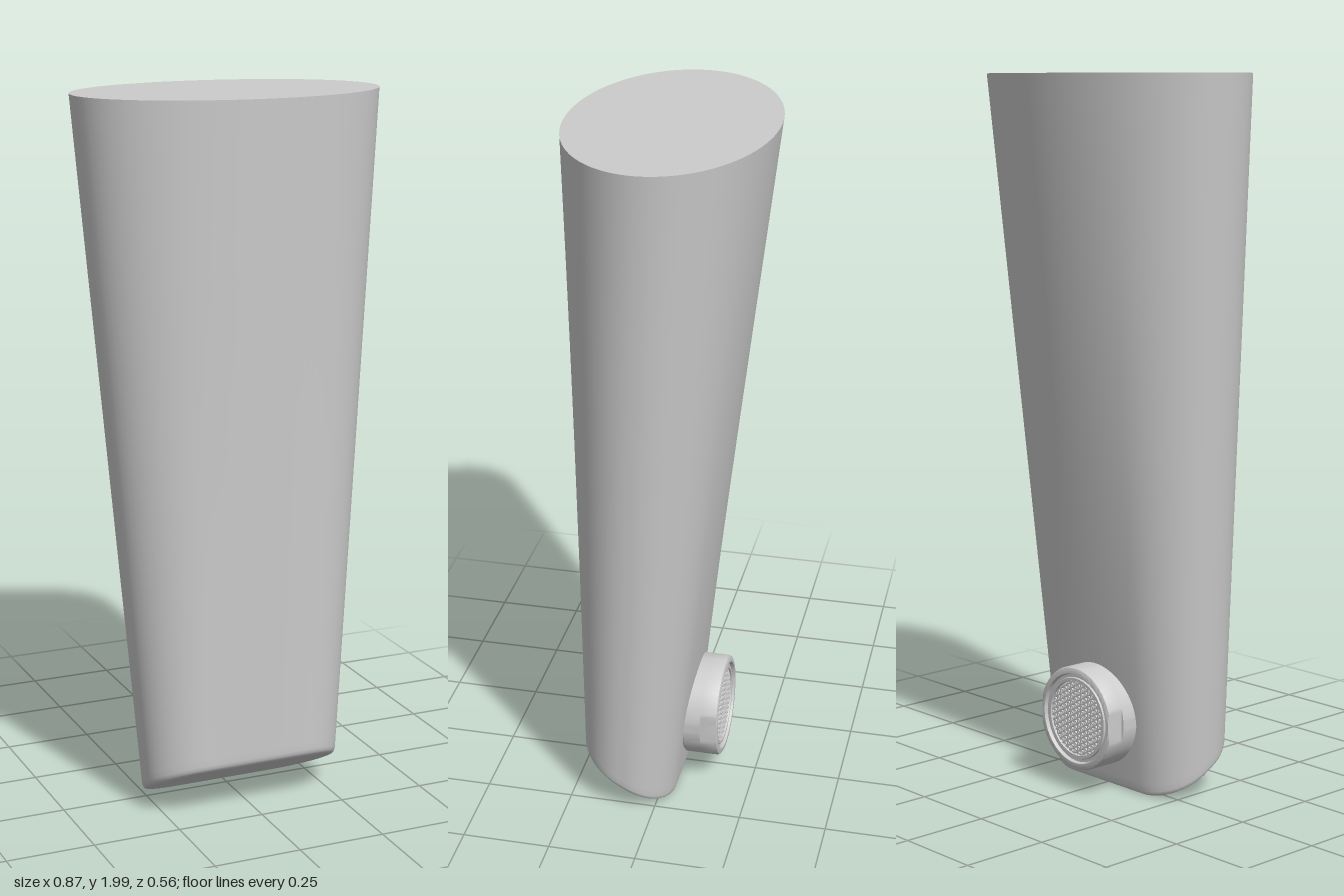
import * as THREE from 'three';
import { mergeGeometries, toCreasedNormals } from 'three/addons/utils/BufferGeometryUtils.js';

const N = 96; // points around the body
const material = new THREE.MeshStandardMaterial({ color: 0xcccccc });

function addMesh(group, name, geometry) {
  const mesh = new THREE.Mesh(geometry, material);
  mesh.name = name;
  group.add(mesh);
  return mesh;
}

// Upper section: a level ellipse
function topSection() {
  const shape = new THREE.Shape().absellipse(0, 0, 0.436, 0.281, 0, Math.PI * 2);
  return shape.getSpacedPoints(N).slice(0, N).map(p => new THREE.Vector3(p.x, 2, p.y));
}

// Lower section: a rounded rectangle on a slanted plane, shrunk by an inset
function bottomSection(inset) {
  const hx = 0.285 - inset, hv = 0.152 - inset, r = 0.14 - inset;
  const cx = hx - r, cv = hv - r, q = Math.PI / 2;
  const s = new THREE.Shape().moveTo(hx, 0);
  s.absarc(cx, cv, r, 0, q);
  s.absarc(-cx, cv, r, q, 2 * q);
  s.absarc(-cx, -cv, r, 2 * q, 3 * q);
  s.absarc(cx, -cv, r, 3 * q, 4 * q);
  s.lineTo(hx, 0);
  return s.getSpacedPoints(N).slice(0, N)
    .map(p => new THREE.Vector3(p.x, 0.075 + p.y * 0.493, 0.0925 + p.y * 0.872));
}

// Smooth wall through a stack of closed loops
function loft(loops) {
  const index = [];
  for (let i = 0; i < loops.length - 1; i++) {
    for (let j = 0; j < N; j++) {
      const a = i * N + j, b = i * N + (j + 1) % N;
      index.push(a, a + N, b, b, a + N, b + N);
    }
  }
  const g = new THREE.BufferGeometry().setFromPoints(loops.flat());
  g.setIndex(index);
  g.computeVertexNormals();
  return g;
}

// Flat fan closing one loop
function cap(loop, up) {
  const centre = new THREE.Vector3();
  loop.forEach(p => centre.addScaledVector(p, 1 / N));
  const index = [];
  for (let j = 0; j < N; j++) {
    const k = (j + 1) % N;
    index.push(N, up ? k : j, up ? j : k);
  }
  const g = new THREE.BufferGeometry().setFromPoints([...loop, centre]);
  g.setIndex(index);
  g.computeVertexNormals();
  return g;
}

function buildBody() {
  const body = new THREE.Group();
  body.name = 'body';
  const top = topSection();
  // [inset, fraction of the way up]: a small rounded lower edge, then straight walls
  const steps = [[0.014, 0], [0.007, 0.0012], [0.002, 0.004], [0, 0.009],
    [0, 0.02], [0, 0.25], [0, 0.5], [0, 0.75], [0, 1]];
  const loops = steps.map(([inset, t]) => bottomSection(inset).map((p, j) => p.lerp(top[j], t)));
  addMesh(body, 'bodyWall', loft(loops));
  addMesh(body, 'topFace', cap(loops[loops.length - 1], true));
  addMesh(body, 'slantedBottomFace', cap(loops[0], false));
  return body;
}

function buildAerator() {
  const aerator = new THREE.Group();
  aerator.name = 'aerator';

  // Collar with stepped rim and recessed face
  const profile = [[0, 0.055], [0.141, 0.055], [0.147, 0.061], [0.147, 0.11], [0.147, 0.111],
    [0.147, 0.151], [0.144, 0.157], [0.138, 0.16], [0.128, 0.16], [0.125, 0.15], [0.117, 0.15],
    [0.115, 0.155], [0.107, 0.155], [0.105, 0.144], [0, 0.144]];
  const collar = new THREE.LatheGeometry(profile.map(p => new THREE.Vector2(...p)), 96);
  // Wrench flats on both sides
  const pos = collar.attributes.position;
  for (let i = 0; i < pos.count; i++) {
    if (pos.getY(i) > 0.1105) pos.setX(i, THREE.MathUtils.clamp(pos.getX(i), -0.139, 0.139));
  }
  addMesh(aerator, 'collar', toCreasedNormals(collar, 0.5));

  // Woven screen: bars in three directions
  const bars = [], R = 0.106;
  for (let d = 0; d < 3; d++) {
    for (let i = -7; i <= 7; i++) {
      const x = i * 0.014;
      const bar = new THREE.BoxGeometry(0.004, 0.008, 2 * Math.sqrt(R * R - x * x));
      bar.translate(x, 0.146 + d * 0.0005, 0);
      bar.rotateY(d * Math.PI / 3);
      bars.push(bar);
    }
  }
  addMesh(aerator, 'screen', mergeGeometries(bars));

  // Lay the axis along -z, on the back of the body
  aerator.rotation.x = -Math.PI / 2;
  aerator.position.y = 0.217;
  return aerator;
}

export function createModel() {
  const model = new THREE.Group();
  model.name = 'spout';
  model.add(buildBody(), buildAerator());
  return model;
}
